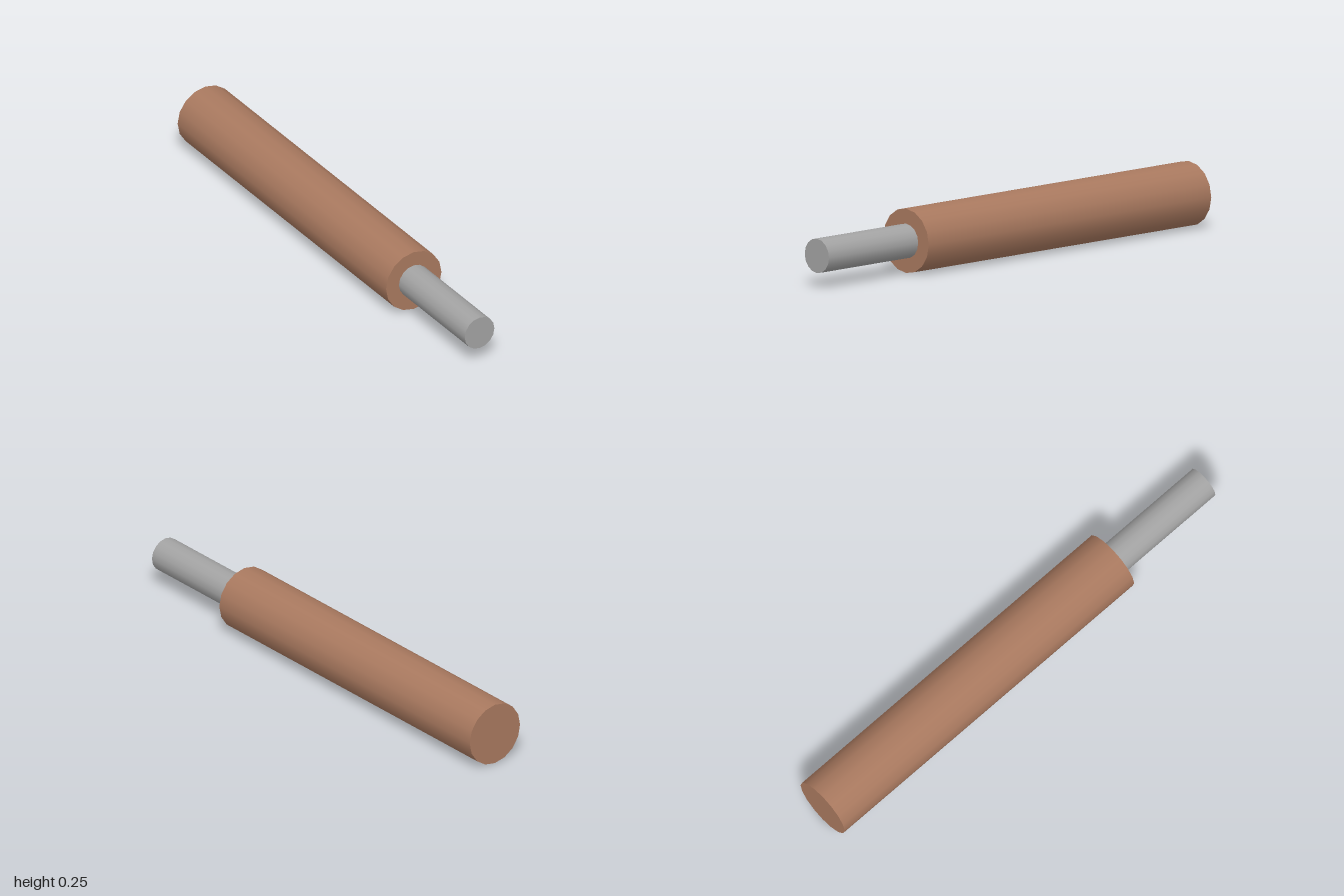
import * as THREE from 'three';

const AXIS_HEIGHT = 0.127;

// Smooth-sided 16-gon cylinder lying along z between two stations
function rod(name, radius, zBack, zFront, material) {
  const geometry = new THREE.CylinderGeometry(radius, radius, zFront - zBack, 16);
  geometry.rotateX(Math.PI / 2);
  const mesh = new THREE.Mesh(geometry, material);
  mesh.name = name;
  mesh.position.set(0, AXIS_HEIGHT, (zBack + zFront) / 2);
  return mesh;
}

export function createModel() {
  const brown = new THREE.MeshStandardMaterial({ color: 0xa9795f });
  brown.name = 'brown';
  const grey = new THREE.MeshStandardMaterial({ color: 0xa3a3a3 });
  grey.name = 'grey';

  const model = new THREE.Group();
  model.name = 'handleWithShaft';
  model.add(
    rod('handle', 0.127, -1, 0.52, brown),
    // The shaft is seated a little way into the handle
    rod('shaft', 0.068, 0.48, 1, grey),
  );
  return model;
}
